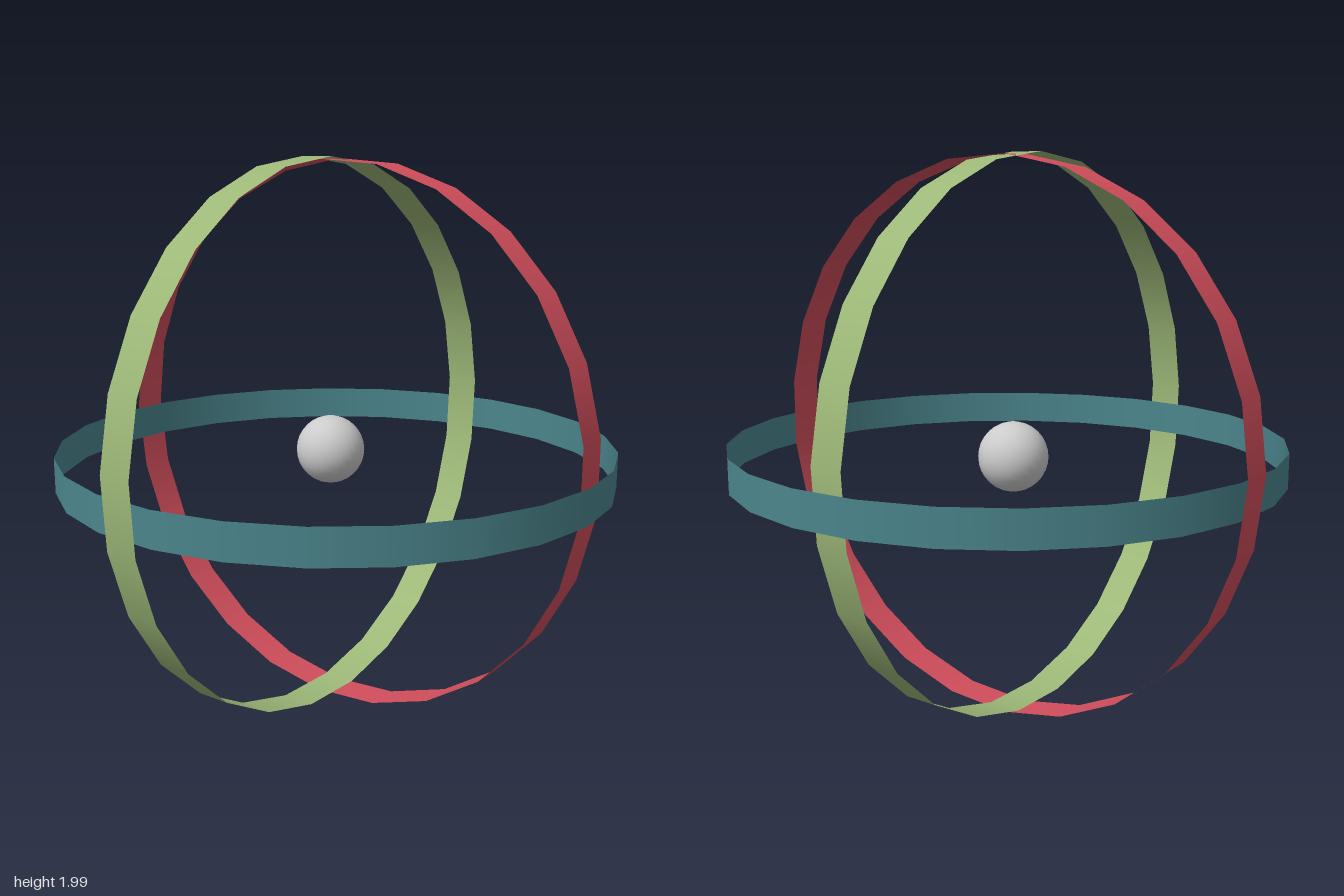
import * as THREE from 'three';

const RADIUS = 0.99, WIDTH = 0.124, SIDES = 25;

// Thin open band; its axis is y until rotated
function band(name, color, position, rotation) {
  const mesh = new THREE.Mesh(
    new THREE.CylinderGeometry(RADIUS, RADIUS, WIDTH, SIDES, 1, true),
    new THREE.MeshStandardMaterial({ color, side: THREE.DoubleSide })
  );
  mesh.name = name;
  mesh.position.set(...position);
  mesh.rotation.set(...rotation);
  return mesh;
}

export function createModel() {
  const model = new THREE.Group();
  model.name = 'gyroscopeRings';

  // Three interlocking rings, one around each axis
  model.add(
    band('horizontalRing', 0x4a858c, [0.003, 0.925, 0.01], [0, 0, 0]),
    band('sideRing', 0xd24e5c, [0.067, 0.992, -0.01], [0, Math.PI, Math.PI / 2]),
    band('frontRing', 0x9db878, [-0.01, 0.999, -0.062], [-Math.PI / 2, 0, 0])
  );

  // Small ball in the middle
  const ball = new THREE.Mesh(
    new THREE.SphereGeometry(0.124, 32, 16),
    new THREE.MeshStandardMaterial({ color: 0xcccccc })
  );
  ball.name = 'centreBall';
  ball.position.set(0.066, 0.94, -0.064);
  model.add(ball);

  return model;
}
